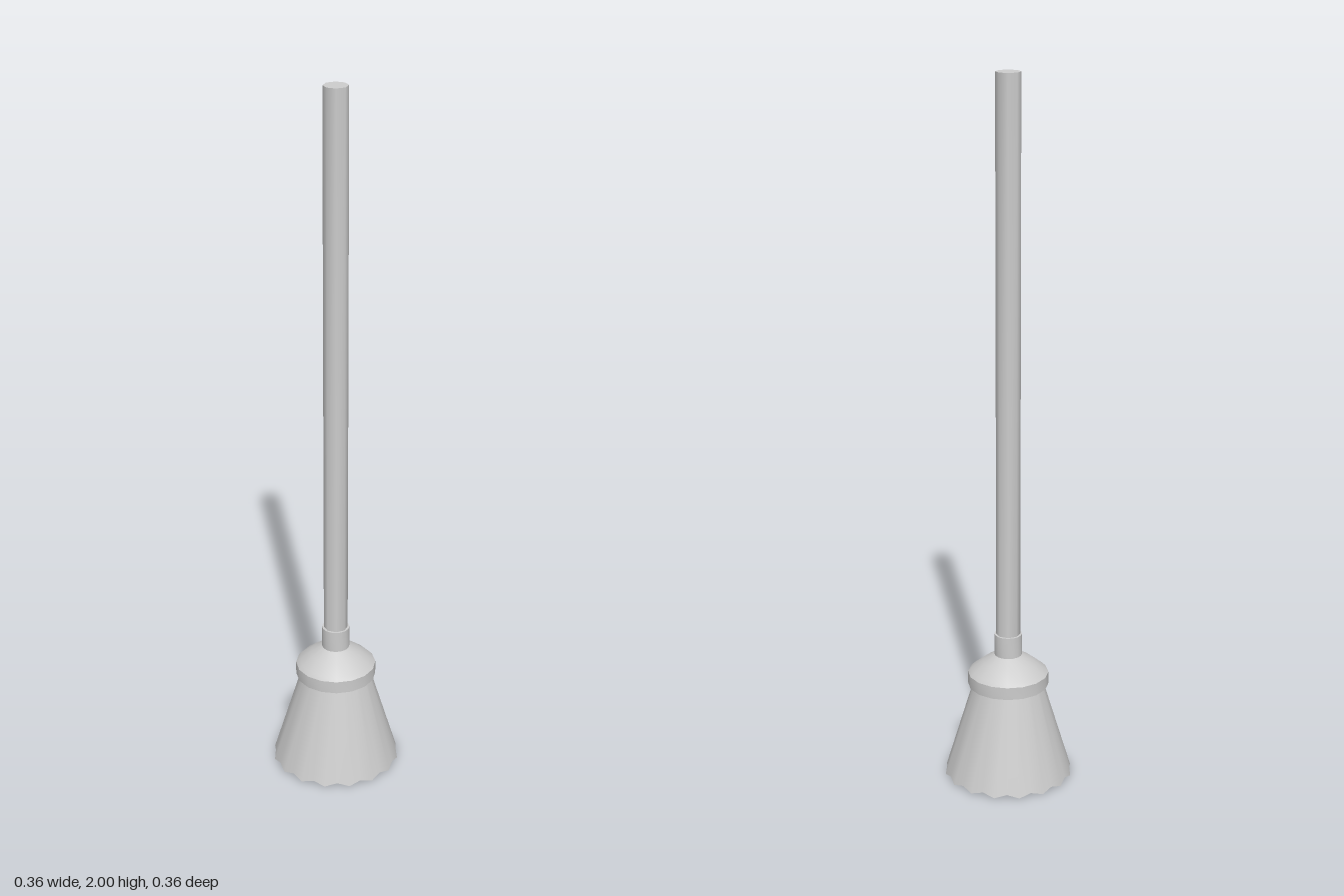
import * as THREE from 'three';
import { toCreasedNormals } from 'three/addons/utils/BufferGeometryUtils.js';

const material = new THREE.MeshStandardMaterial({ color: 0xcccccc });

function addPart(group, name, geometry) {
  const mesh = new THREE.Mesh(toCreasedNormals(geometry, 0.6), material);
  mesh.name = name;
  group.add(mesh);
}

// Turned part from [radius, height] pairs, listed bottom to top
function turned(profile, sides) {
  return new THREE.LatheGeometry(profile.map(([r, y]) => new THREE.Vector2(r, y)), sides);
}

// Flared skirt: 16 pleats, with the rim pulled in and lifted between the points
function pleatedSkirt() {
  const pleats = 16, sides = pleats * 2, height = 0.3;
  const geometry = new THREE.CylinderGeometry(0.092, 0.182, height, sides, 1);
  geometry.translate(0, height / 2, 0);
  geometry.rotateY(Math.PI / pleats);
  const p = geometry.attributes.position;
  for (let i = 0; i < p.count; i++) {
    const x = p.getX(i), y = p.getY(i), z = p.getZ(i);
    const r = Math.hypot(x, z);
    if (r < 0.01) { p.setY(i, y < 0.1 ? 0.006 : y); continue; }
    const step = Math.round((Math.atan2(x, z) / (2 * Math.PI)) * sides);
    if (step % 2 === 0) {
      const s = 0.967;
      p.setXYZ(i, x * s, y < 0.1 ? 0.009 : y, z * s);
    }
  }
  return geometry;
}

export function createModel() {
  const broom = new THREE.Group();
  broom.name = 'broom';

  // Long octagonal pole
  const pole = new THREE.CylinderGeometry(0.034, 0.034, 1.65, 8);
  pole.translate(0, 1.175, 0);
  const poleMesh = new THREE.Mesh(toCreasedNormals(pole, 0.9), material);
  poleMesh.name = 'pole';
  broom.add(poleMesh);

  // Socket and cap holding the bristles
  addPart(broom, 'cap', turned([
    [0, 0.272], [0.114, 0.272], [0.114, 0.308], [0.104, 0.318],
    [0.072, 0.343], [0.039, 0.363], [0.039, 0.425], [0, 0.425],
  ], 16));

  // Bristles
  addPart(broom, 'bristles', pleatedSkirt());
  return broom;
}
